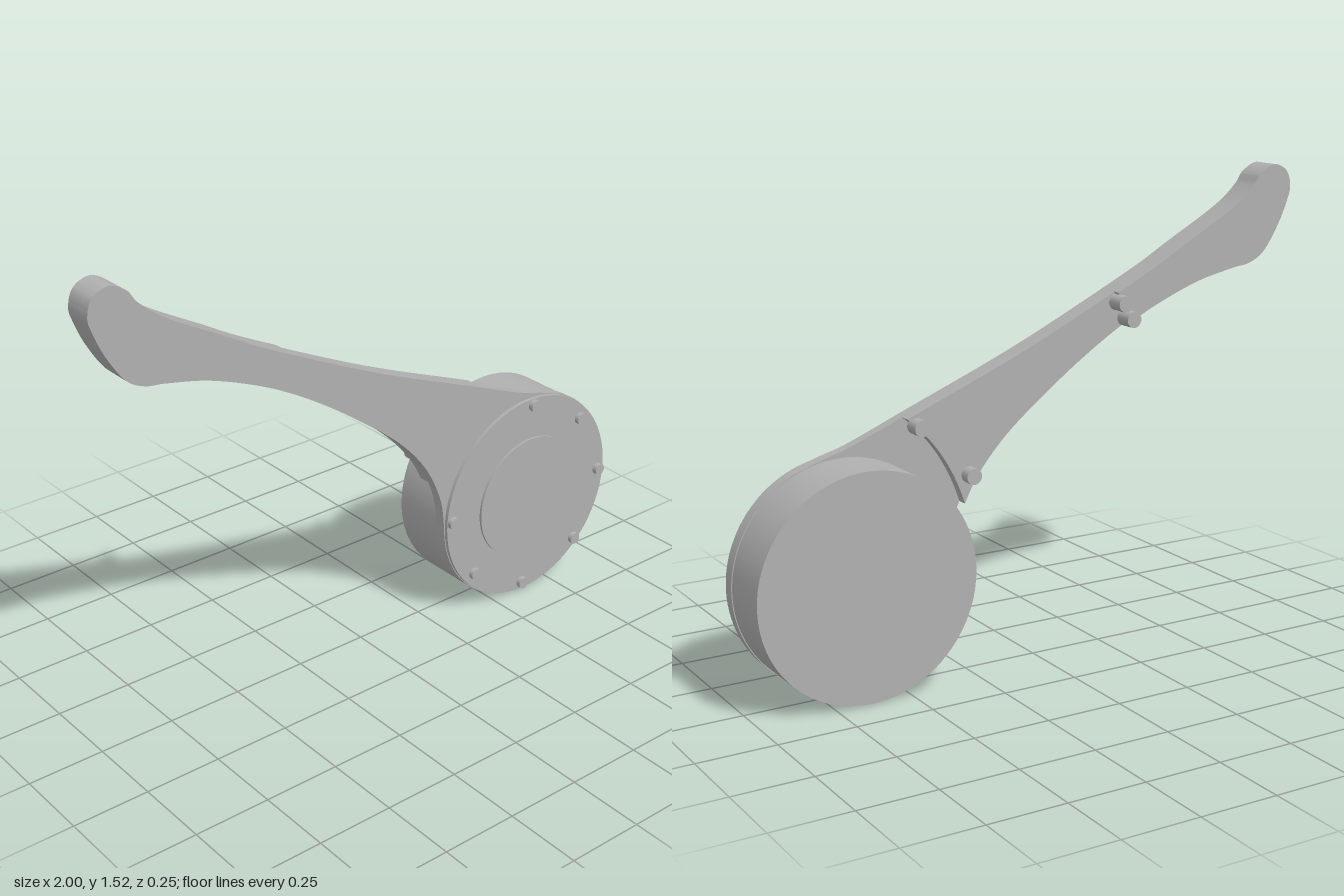
import * as THREE from 'three';
import { toCreasedNormals } from 'three/addons/utils/BufferGeometryUtils.js';

const CX = 0.636, CY = 0.363, R = 0.36;

export function createModel() {
  const group = new THREE.Group();
  const grey = new THREE.MeshStandardMaterial({ color: 0xb0b0b0 });
  grey.name = 'plain grey';

  const add = (name, geometry) => {
    const mesh = new THREE.Mesh(geometry, grey);
    mesh.name = name;
    group.add(mesh);
  };

  // Round part along z
  const disc = (name, x, y, r, z0, z1, sides = 96) => {
    const g = new THREE.CylinderGeometry(r, r, z1 - z0, sides);
    g.rotateX(Math.PI / 2).translate(x, y, (z0 + z1) / 2);
    add(name, g);
  };

  // Flat slab from an outline
  const slab = (name, points, z0, z1) => {
    const g = new THREE.ExtrudeGeometry(new THREE.Shape(points), { depth: z1 - z0, bevelEnabled: false });
    g.translate(0, 0, z0);
    add(name, toCreasedNormals(g, 0.5));
  };

  // Lever edge: along the top to the tip, then back along the underside
  const edge = new THREE.SplineCurve([
    [0.783, 0.695], [0.69, 0.727], [0.596, 0.755], [0.393, 0.837], [0, 0.998], [-0.404, 1.19],
    [-0.58, 1.286], [-0.762, 1.388], [-0.842, 1.452], [-0.875, 1.495], [-0.93, 1.522],
    [-0.982, 1.5], [-1, 1.45], [-0.99, 1.405], [-0.954, 1.324], [-0.896, 1.238], [-0.837, 1.203],
    [-0.762, 1.19], [-0.607, 1.152], [-0.404, 1.067], [-0.206, 0.95], [0, 0.8],
    [0.115, 0.698], [0.2, 0.59], [0.255, 0.47], [0.273, 0.363],
  ].map(([x, y]) => new THREE.Vector2(x, y))).getPoints(200);

  // Front layer: the whole lever with its round eye
  const eye = [];
  for (let i = 1; i < 80; i++) {
    const a = Math.PI * (1 + (i / 80) * 1.367);
    eye.push(new THREE.Vector2(CX + 0.363 * Math.cos(a), CY + 0.363 * Math.sin(a)));
  }
  slab('leverFace', [...edge, ...eye], 0.06, 0.097);

  // Middle layer: ends in an arc that clears the drum
  const middle = edge.filter(p => p.x < 0.43 && p.y > 0.52);
  const arc = new THREE.QuadraticBezierCurve(
    middle[middle.length - 1], new THREE.Vector2(0.29, 0.71), middle[0]).getPoints(24).slice(1, -1);
  slab('leverBody', [...middle, ...arc], 0.024, 0.06);

  // Rear layer: thicker grip ending in a slanted step
  slab('leverGrip', edge.filter(p => p.x < -0.3 + 0.667 * (p.y - 1.12)), 0, 0.024);

  // Drum with its front cover and raised centre
  disc('drum', CX, CY, R, -0.123, 0.06);
  disc('frontCover', CX, CY, R, 0.09, 0.109);
  disc('coverCentre', CX, CY, 0.217, 0.1, 0.117);

  // Cover screws
  [[0.645, 0.7], [0.865, 0.585], [0.968, 0.358], [0.865, 0.12], [0.623, 0.03], [0.4, 0.148], [0.298, 0.378]]
    .forEach(([x, y]) => disc('coverScrew', x, y, 0.02, 0.1, 0.125, 24));

  // Pins on the back of the lever
  [[0.395, 0.797, -0.013], [0.217, 0.622, -0.013], [-0.325, 1.115, -0.036], [-0.357, 1.062, -0.036]]
    .forEach(([x, y, z]) => disc('backPin', x, y, 0.026, z, 0.04, 24));

  return group;
}
